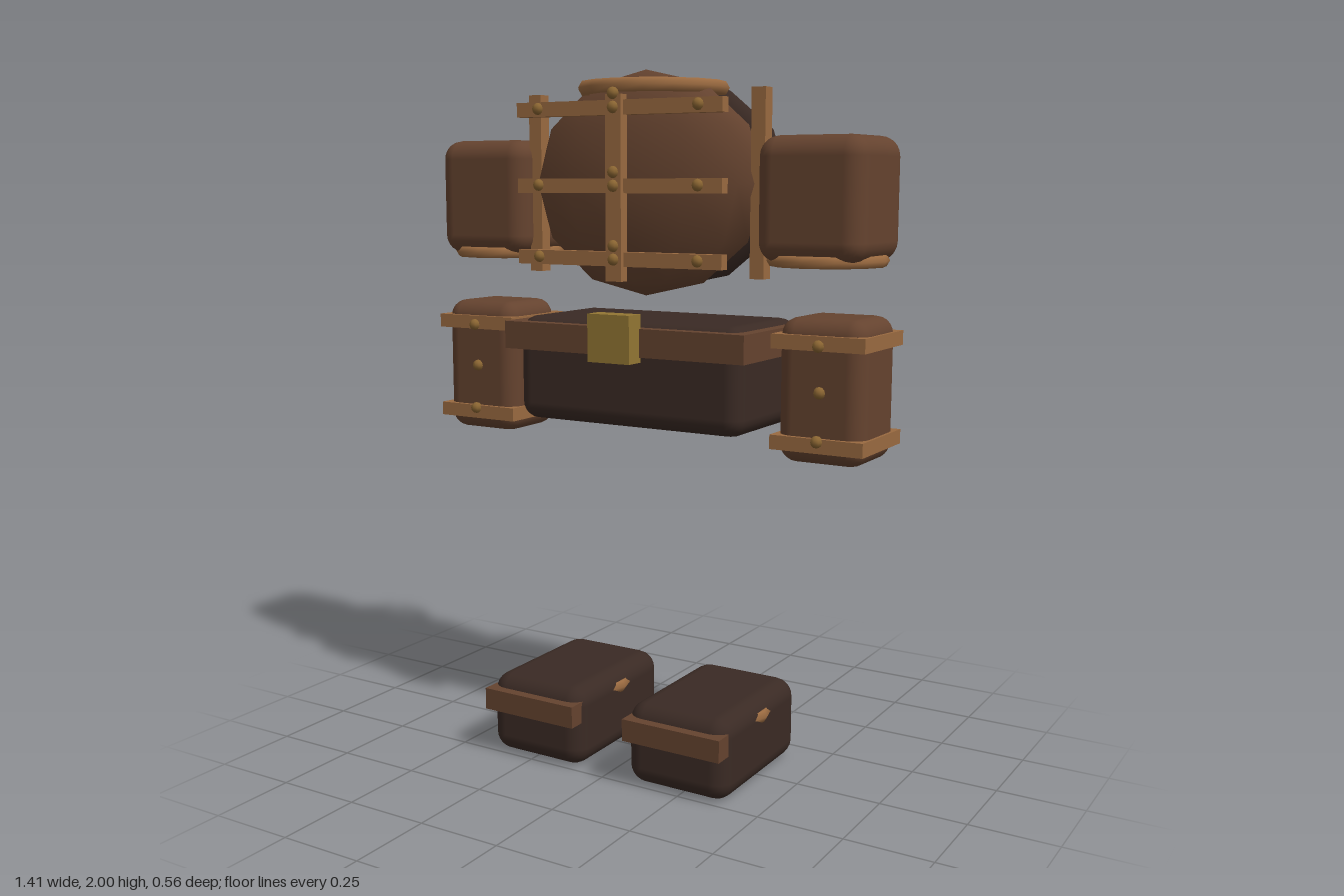
import * as THREE from 'three';
import { RoundedBoxGeometry } from 'three/addons/geometries/RoundedBoxGeometry.js';

const mat = (color) => new THREE.MeshStandardMaterial({ color });

export function createModel() {
  const model = new THREE.Group();
  const leather = mat(0x65432f), dark = mat(0x3a2a24), trim = mat(0x9a6a40);
  const gold = mat(0x937633), stud = mat(0x8a6532);

  function add(name, geometry, material, x, y, z, parent = model) {
    const mesh = new THREE.Mesh(geometry, material);
    mesh.name = name;
    mesh.position.set(x, y, z);
    parent.add(mesh);
    return mesh;
  }
  const box = (w, h, d) => new THREE.BoxGeometry(w, h, d);
  const soft = (w, h, d, r) => new RoundedBoxGeometry(w, h, d, 3, r);
  const ellipsoid = (x, y, z) => new THREE.SphereGeometry(1, 12, 6).scale(x, y, z);
  const ring = (radius, tube, sides) => new THREE.TorusGeometry(radius, tube, 6, sides).rotateX(Math.PI / 2);
  const rivet = new THREE.SphereGeometry(0.017, 8, 6);

  // Torso armour
  const torso = new THREE.Group();
  torso.name = 'torso';
  model.add(torso);
  add('chestPlate', ellipsoid(0.375, 0.315, 0.13), leather, 0, 1.685, 0.005, torso);
  add('backPlate', ellipsoid(0.375, 0.3, 0.078), dark, 0, 1.685, -0.143, torso);
  add('collar', ring(0.195, 0.021, 16), trim, 0, 1.95, -0.035, torso);

  // Rib straps joined by a centre strap, with rivets
  for (const y of [1.89, 1.68, 1.48]) {
    add('ribStrap', box(0.66, 0.04, 0.032), trim, 0, y, 0.15, torso);
    for (const x of [-0.257, 0.257]) add('ribRivet', rivet, stud, x, y + 0.002, 0.165, torso);
    for (const dy of [0, 0.037]) add('centreRivet', rivet, stud, 0, y + dy, 0.178, torso);
  }
  add('centreStrap', box(0.05, 0.505, 0.032), trim, 0, 1.672, 0.163, torso);

  // Belt and hips
  add('hips', soft(0.74, 0.305, 0.386, 0.05), dark, 0, 1.1525, -0.062);
  add('belt', box(0.786, 0.08, 0.436), leather, 0, 1.25, -0.064);
  add('buckle', box(0.136, 0.135, 0.06), gold, 0, 1.263, 0.178);

  for (const side of [1, -1]) {
    const label = side > 0 ? 'left' : 'right';
    const half = new THREE.Group();
    half.name = label + 'Side';
    model.add(half);

    add('sideStrap', box(0.042, 0.51, 0.04), trim, side * 0.365, 1.685, 0.01, half);

    // Shoulder pad
    add('shoulderPad', soft(0.314, 0.335, 0.296, 0.055), leather, side * 0.533, 1.645, -0.065, half);
    add('shoulderTrim', ring(0.149, 0.018, 12), trim, side * 0.533, 1.482, -0.065, half);

    // Bracer with two bands
    add('bracer', soft(0.256, 0.396, 0.24, 0.05), leather, side * 0.567, 1.135, -0.062, half);
    for (const y of [1.27, 0.995])
      add('bracerBand', box(0.272, 0.04, 0.266), trim, side * 0.567, y, -0.062, half);
    for (const [y, z] of [[1.263, 0.071], [1.137, 0.058], [1.007, 0.071]])
      add('bracerRivet', rivet, stud, side * 0.57, y, z, half);

    // Boot
    add('boot', soft(0.326, 0.24, 0.456, 0.055), dark, side * 0.238, 0.12, 0.022, half);
    add('toeBand', box(0.31, 0.064, 0.056), leather, side * 0.24, 0.17, 0.249, half);
    add('ankleRing', ring(0.156, 0.019, 12), trim, side * 0.238, 0.19, 0.022, half);
  }
  return model;
}
